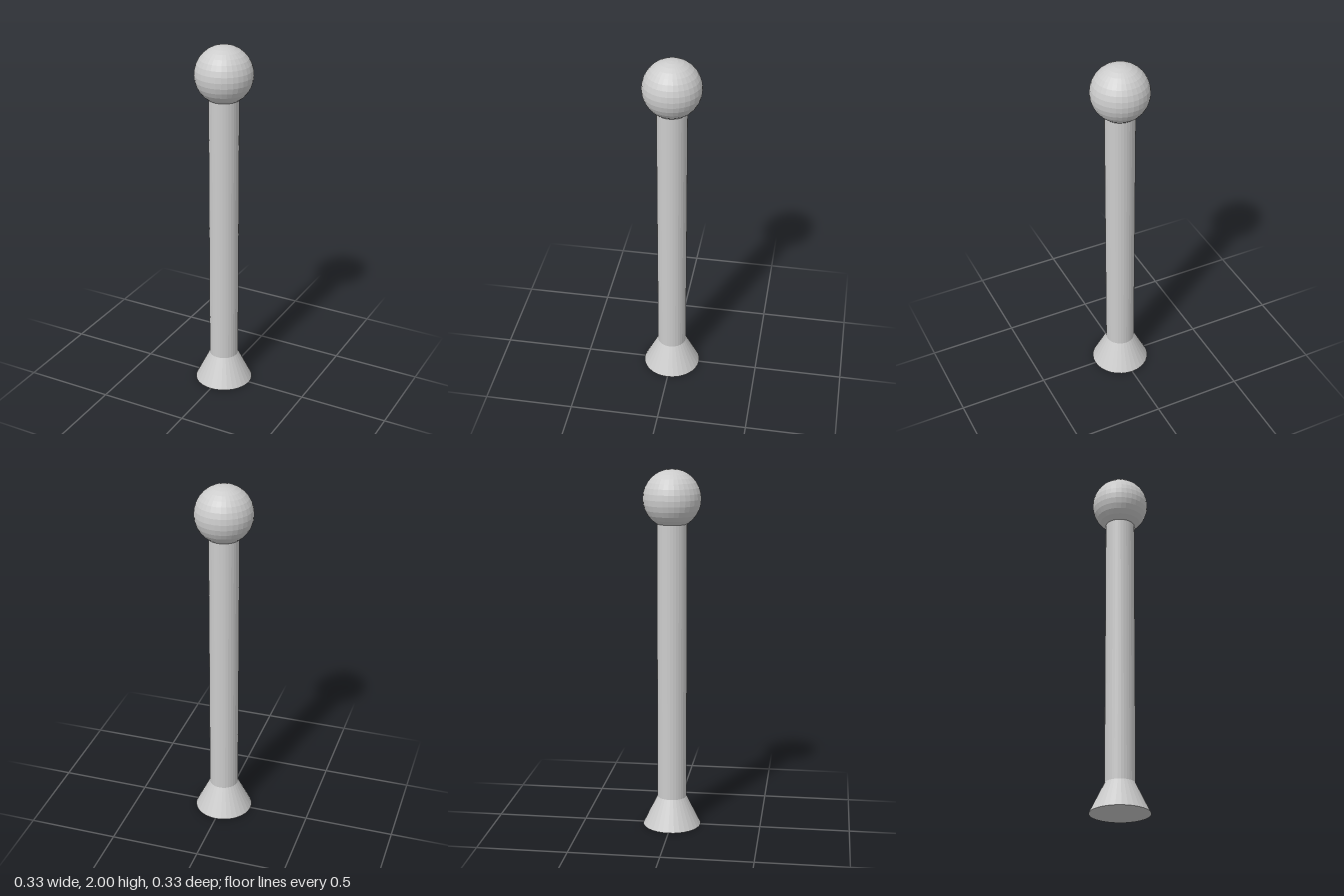
import * as THREE from 'three';

export function createModel() {
  const group = new THREE.Group();
  const grey = new THREE.MeshStandardMaterial({ color: 0xcccccc, flatShading: true });
  grey.name = 'light grey';

  const SIDES = 32, BASE_R = 0.163, SHAFT_R = 0.082, BASE_H = 0.165;
  const BALL_R = 0.158, BALL_Y = 2 - BALL_R;

  function add(name, geometry, y) {
    const mesh = new THREE.Mesh(geometry, grey);
    mesh.name = name;
    mesh.position.y = y;
    group.add(mesh);
  }

  // flared foot
  add('base', new THREE.CylinderGeometry(SHAFT_R, BASE_R, BASE_H, SIDES), BASE_H / 2);

  // straight post, ending inside the ball
  const shaftH = 1.76 - BASE_H;
  add('shaft', new THREE.CylinderGeometry(SHAFT_R, SHAFT_R, shaftH, SIDES, 1, true), BASE_H + shaftH / 2);

  // faceted ball on top
  add('ball', new THREE.SphereGeometry(BALL_R, SIDES, 16), BALL_Y);

  return group;
}
